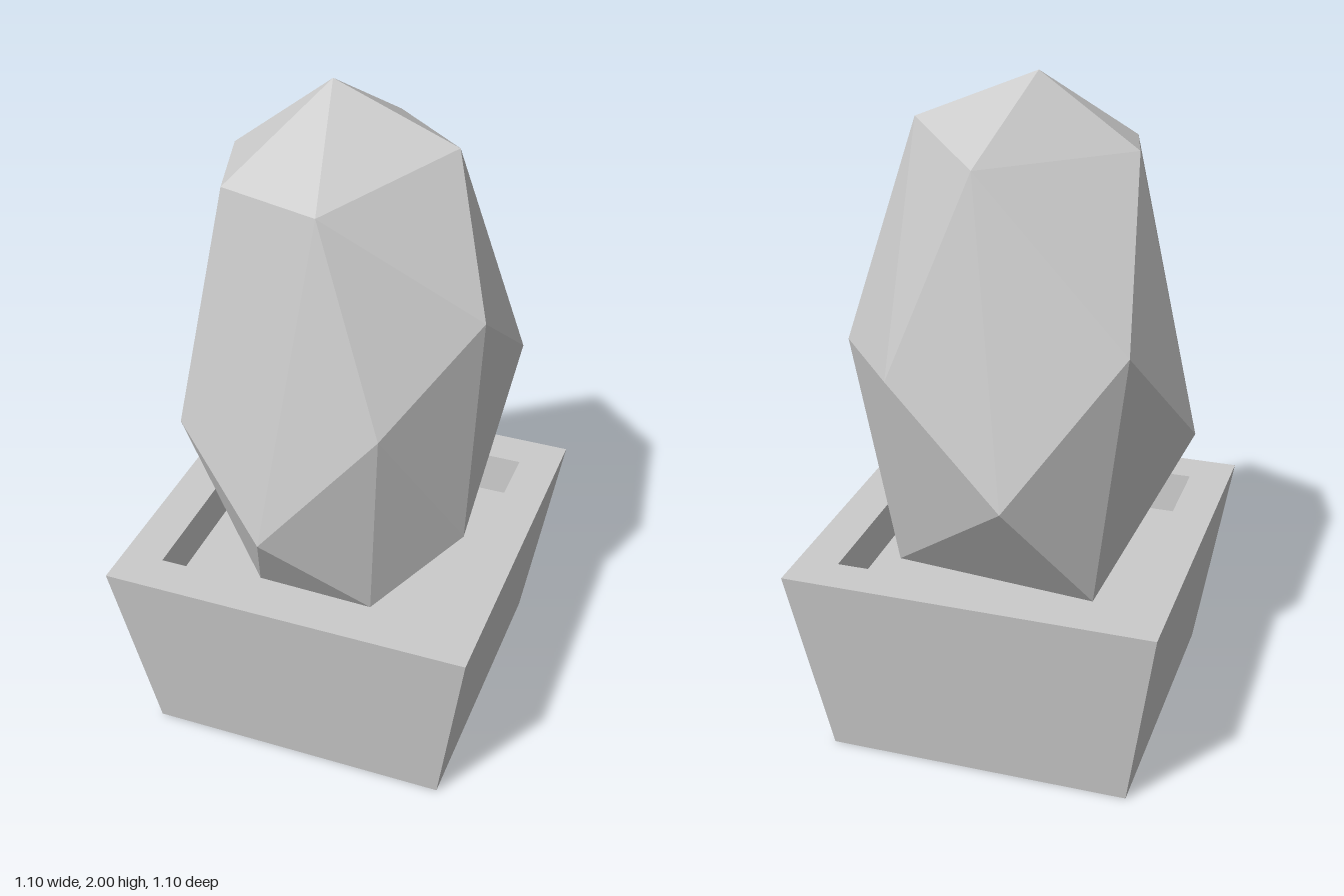
import * as THREE from 'three';
import { ConvexGeometry } from 'three/addons/geometries/ConvexGeometry.js';

const material = new THREE.MeshStandardMaterial({ color: 0xcccccc, flatShading: true });

function addMesh(group, name, geometry) {
  const mesh = new THREE.Mesh(geometry, material);
  mesh.name = name;
  group.add(mesh);
}

// Four-sided lathe: profile points are [half width, height]
function squareLathe(profile) {
  const points = profile.map(([w, y]) => new THREE.Vector2(w * Math.SQRT2, y));
  const geometry = new THREE.LatheGeometry(points, 4, Math.PI / 4).toNonIndexed();
  geometry.computeVertexNormals();
  return geometry;
}

export function createModel() {
  const model = new THREE.Group();
  model.name = 'pottedBush';

  // Tapered square pot with a thick flat rim and a recess
  addMesh(model, 'pot', squareLathe([
    [0, 0], [0.455, 0], [0.55, 0.61], [0.427, 0.61], [0.427, 0.47],
  ]));

  // Soil filling the recess
  addMesh(model, 'soil', squareLathe([[0.427, 0.475], [0, 0.475]]));

  // Faceted egg-shaped bush, as the hull of a few rings of points
  const bush = [
    // tip
    [-0.057, 2, -0.038],
    // shoulder
    [0.03, 1.8, -0.35], [-0.333, 1.79, 0], [-0.27, 1.77, 0.235],
    [0.045, 1.79, 0.353], [0.298, 1.85, -0.05],
    // waist
    [-0.402, 1.325, -0.34], [-0.09, 0.89, -0.497], [0.255, 1.215, -0.44],
    [0.475, 1.21, -0.17], [0.45, 1.46, 0.16], [0.25, 1.21, 0.44],
    [-0.09, 0.8, 0.485], [-0.39, 1.05, 0.32], [-0.52, 0.97, 0],
    // base
    [0.415, 0.73, 0.15], [0.19, 0.53, 0.32], [0.3, 0.56, -0.26],
    [-0.29, 0.51, -0.245], [-0.168, 0.52, 0.3], [0, 0.42, 0],
  ].map((p) => new THREE.Vector3(...p));
  addMesh(model, 'bush', new ConvexGeometry(bush));

  return model;
}
